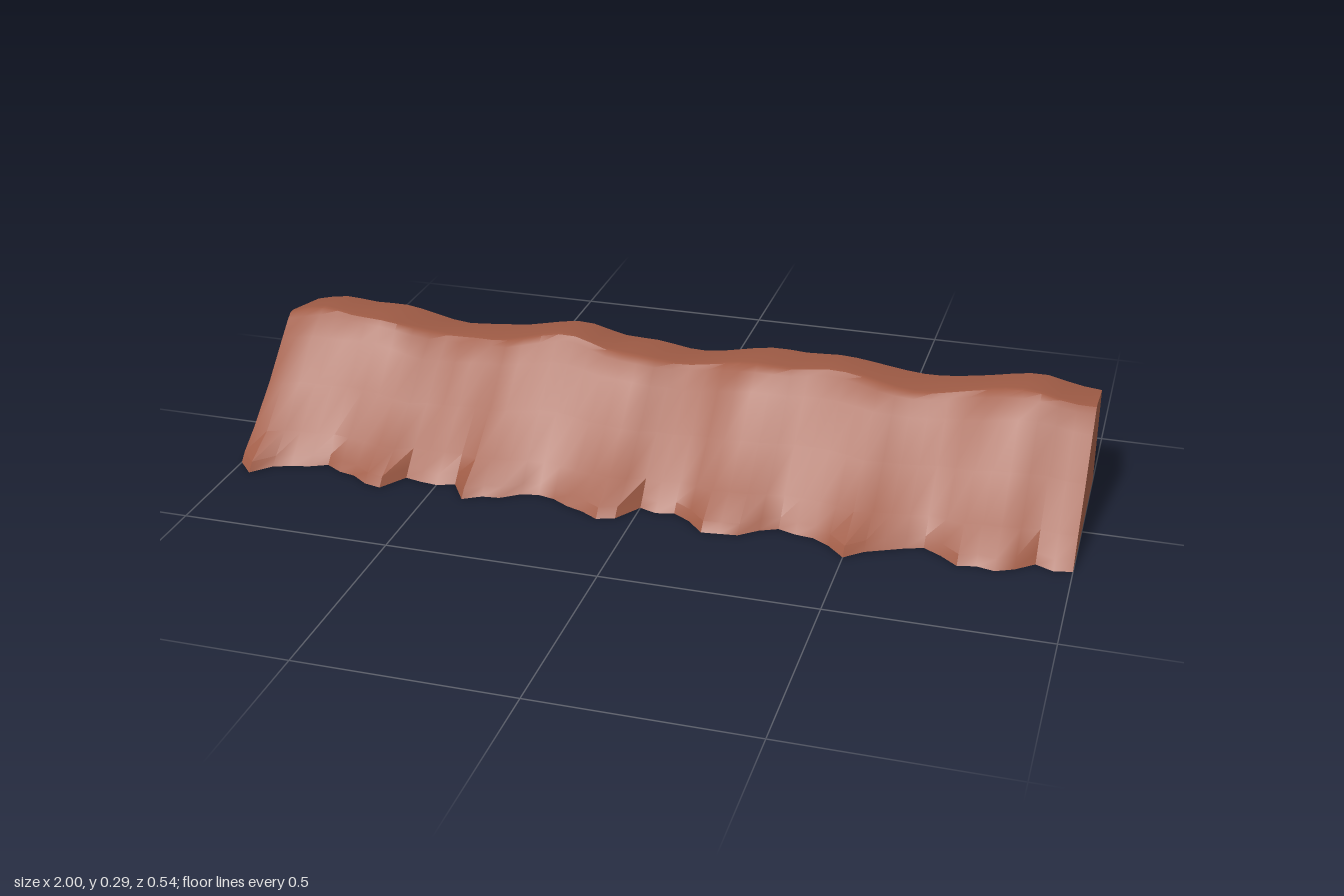
import * as THREE from 'three';
import { toCreasedNormals } from 'three/addons/utils/BufferGeometryUtils.js';

const BACK = -0.268;
const COLUMNS = 48;

// Ragged foot line: z in hundredths for each column from right to left end
const FOOT = [
  21.5, 26, 21.5, 20, 19, 17, 19.5, 20.5, 23.5, 24.5, 18, 19, 19.5, 18, 24.5, 22,
  21.5, 18.5, 17.5, 18.5, 21, 22.5, 25, 23.5, 17, 18.5, 17.5, 20, 24.5, 24, 23.5, 20,
  18, 19.5, 20, 22.5, 26.8, 23, 21, 19, 17.5, 20, 23.5, 22.5, 23.5, 21.5, 18, 20, 19,
];

// Rolling height of the crest along x
const crestCurve = new THREE.SplineCurve([
  [-1, 0.268], [-0.92, 0.284], [-0.83, 0.278], [-0.74, 0.278], [-0.6, 0.25], [-0.5, 0.256],
  [-0.42, 0.264], [-0.28, 0.289], [-0.17, 0.266], [-0.08, 0.262], [0.04, 0.248],
  [0.2, 0.276], [0.3, 0.274], [0.4, 0.277], [0.58, 0.254], [0.7, 0.264], [0.85, 0.289],
  [0.94, 0.272], [1, 0.265],
].map(([x, y]) => new THREE.Vector2(x, y)));
const crestPoints = crestCurve.getPoints(400);

function crestHeight(x) {
  const k = Math.max(1, crestPoints.findIndex((p) => p.x >= x - 1e-6));
  const a = crestPoints[k - 1], b = crestPoints[k];
  return THREE.MathUtils.mapLinear(x, a.x, b.x, a.y, b.y);
}

// Cross-section as [z, y], from the foot over the crest to the back
function section(i) {
  const x = -1 + (2 * i) / COLUMNS;
  const foot = FOOT[i] / 100;
  const d = foot - 0.19;
  const top = crestHeight(x);
  const s = top / 0.29;
  const crestZ = -0.121 - 0.011 * Math.cos((x + 0.58) * Math.PI * 2 / 0.33);
  return [
    [foot, 0],
    [foot - 0.019, 0.02],
    [0.13 + 0.33 * d, 0.063 * s],
    [0.03 + 0.27 * d, 0.15 * s],
    [-0.057 + 0.2 * d, 0.24 * s],
    [crestZ + 0.027 + 0.1 * d, 0.277 * s],
    [crestZ + 0.013, 0.289 * s],
    [crestZ, top],
    [BACK, top - 0.028],
    [BACK, 0],
  ].map(([z, y]) => [x, y, z]);
}

// Loft of all sections, with flat ends
function ledgeGeometry() {
  const positions = [];
  const index = [];
  let n = 0;
  for (let i = 0; i <= COLUMNS; i++) {
    const ring = section(i);
    n = ring.length;
    positions.push(...ring.flat());
  }
  for (let i = 0; i < COLUMNS; i++) {
    for (let j = 0; j < n; j++) {
      const k = (j + 1) % n;
      const a = i * n + j, b = a + n, d = i * n + k, c = d + n;
      index.push(a, b, c, a, c, d);
    }
  }
  const last = COLUMNS * n;
  for (let j = 0; j < n - 2; j++) {
    index.push(n - 1, j, j + 1);
    index.push(last + n - 1, last + j + 1, last + j);
  }
  const geometry = new THREE.BufferGeometry();
  geometry.setAttribute('position', new THREE.Float32BufferAttribute(positions, 3));
  geometry.setIndex(index);
  return toCreasedNormals(geometry, 0.55);
}

export function createModel() {
  const group = new THREE.Group();
  group.name = 'cliffLedge';
  const clay = new THREE.MeshStandardMaterial({ color: 0xa05c46 });
  clay.name = 'red clay';
  const ledge = new THREE.Mesh(ledgeGeometry(), clay);
  ledge.name = 'ledge';
  group.add(ledge);
  return group;
}
